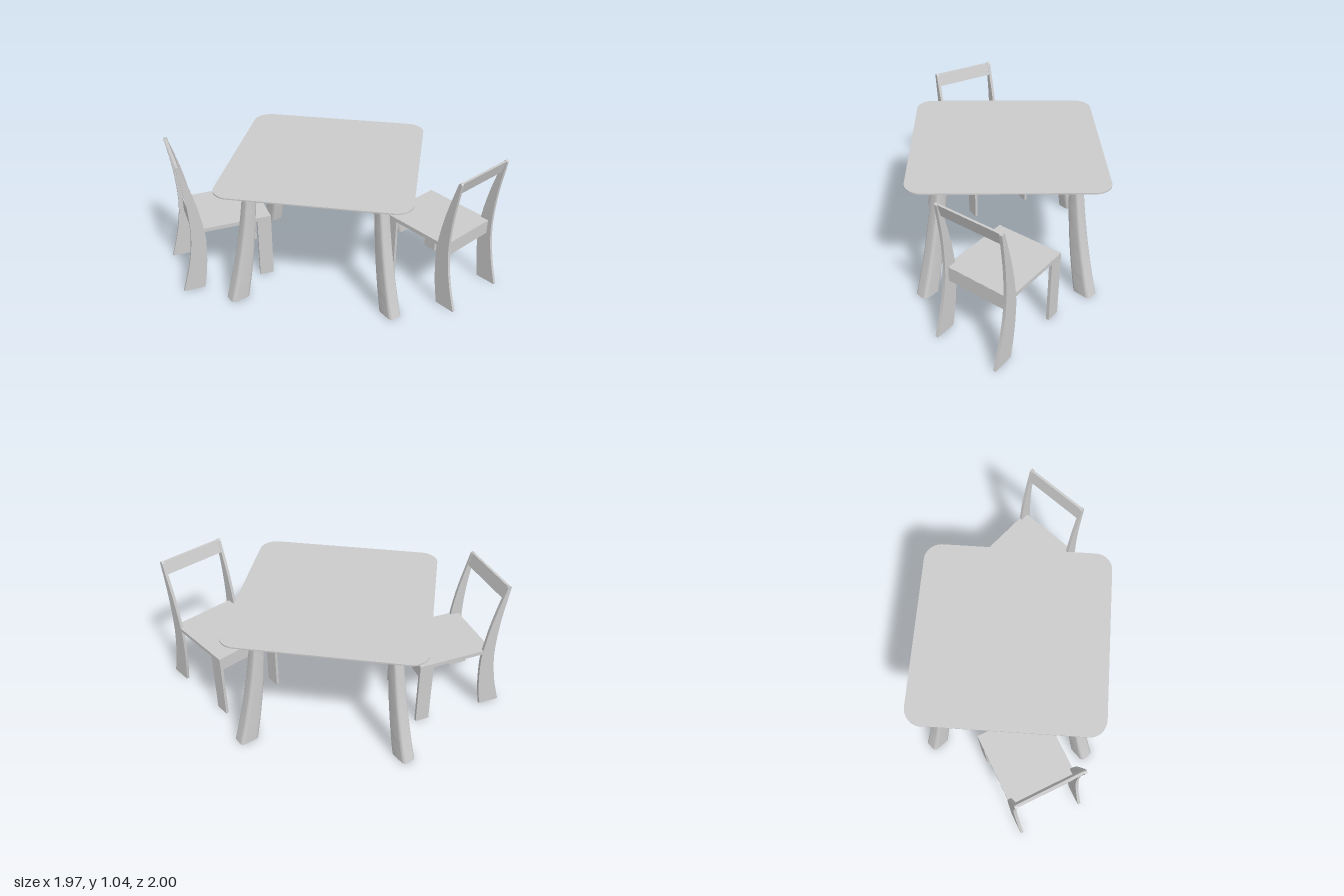
import * as THREE from 'three';
import { toCreasedNormals } from 'three/addons/utils/BufferGeometryUtils.js';

const material = new THREE.MeshStandardMaterial({ color: 0xcccccc });

function add(parent, name, geometry) {
  const mesh = new THREE.Mesh(geometry, material);
  mesh.name = name;
  parent.add(mesh);
  return mesh;
}

function roundedRect(w, h, r) {
  const s = new THREE.Shape(), x = w / 2 - r, y = h / 2 - r;
  s.absarc(x, y, r, 0, Math.PI / 2);
  s.absarc(-x, y, r, Math.PI / 2, Math.PI);
  s.absarc(-x, -y, r, Math.PI, Math.PI * 1.5);
  s.absarc(x, -y, r, Math.PI * 1.5, Math.PI * 2);
  s.closePath();
  return s;
}

// Extrudes a section upward over t = 0..1 and reshapes each level by a rule
function loft(shape, steps, curveSegments, rule) {
  const geo = new THREE.ExtrudeGeometry(shape, { depth: 1, steps, curveSegments, bevelEnabled: false });
  geo.rotateX(-Math.PI / 2);
  const p = geo.attributes.position;
  for (let i = 0; i < p.count; i++) p.setXYZ(i, ...rule(p.getX(i), p.getY(i), p.getZ(i)));
  geo.computeVertexNormals();
  return toCreasedNormals(geo, 0.6);
}

// Side outline in (z, y), extruded to a board of the given width across x
function board(shape, width, x = 0) {
  const geo = new THREE.ExtrudeGeometry(shape, { depth: width, curveSegments: 16, bevelEnabled: false });
  geo.rotateY(-Math.PI / 2).translate(x + width / 2, 0, 0);
  return toCreasedNormals(geo, 0.6);
}

const points = (list) => list.map(([x, y]) => new THREE.Vector2(x, y));

function box(w, h, d, x, y, z) {
  return new THREE.BoxGeometry(w, h, d).translate(x, y, z);
}

function createTable() {
  const table = new THREE.Group();
  table.name = 'table';

  // Square top with rounded corners and an undercut edge
  const levels = [[0.875, 0.885], [0.91, 1], [0.92, 1]];
  const top = add(table, 'tableTop', loft(roundedRect(1.36, 1.36, 0.125), 2, 16, (x, t, z) => {
    const [y, scale] = levels[Math.round(t * 2)];
    return [x * scale, y, z * scale];
  }));
  top.rotation.y = Math.PI / 4;

  // Four legs that taper upward and sweep out along the diagonals
  const legGeometry = loft(roundedRect(1, 1, 0.22), 14, 6, (x, t, z) => [
    0.8 - 0.23 * t + 0.08 * t * t + x * (0.145 - 0.07 * t),
    t * 0.88,
    z * (0.105 - 0.025 * t),
  ]);
  for (let i = 0; i < 4; i++) add(table, 'tableLeg', legGeometry).rotation.y = i * Math.PI / 2;

  // Two crossing rails with an arched lower edge
  const rail = new THREE.Shape();
  rail.moveTo(-0.65, 0.878);
  rail.lineTo(-0.65, 0.75);
  rail.quadraticCurveTo(0, 0.81, 0.65, 0.75);
  rail.lineTo(0.65, 0.878);
  rail.closePath();
  const railGeometry = board(rail, 0.05);
  for (let i = 0; i < 2; i++) add(table, 'crossRail', railGeometry).rotation.y = i * Math.PI / 2;
  return table;
}

// Chair faces +z, with its rearmost feet at z = 0
function createChair() {
  const chair = new THREE.Group();
  chair.name = 'chair';
  const half = 0.254, thick = 0.022;

  // Curved plank that is both rear leg and back post
  const post = new THREE.Shape();
  post.moveTo(0, 0);
  post.lineTo(0.16, 0);
  post.splineThru(points([[0.188, 0.17], [0.203, 0.35], [0.2, 0.5], [0.156, 0.75], [0.077, 1.035]]));
  post.quadraticCurveTo(0.066, 1.052, 0.05, 1.035);
  post.splineThru(points([[0.087, 0.78], [0.1, 0.57], [0.093, 0.4], [0.057, 0.2], [0, 0]]));

  for (const side of [-1, 1]) {
    const x = side * (half - thick / 2);
    add(chair, 'backPost', board(post, thick, x));
    add(chair, 'frontLeg', box(thick, 0.52, 0.105, x, 0.26, 0.6475));
  }

  add(chair, 'seat', box(2 * half - 0.002, 0.03, 0.567, 0, 0.5045, 0.4155));
  const inner = 2 * (half - thick);
  add(chair, 'frontApron', box(inner, 0.1, thick, 0, 0.465, 0.685));
  add(chair, 'rearApron', box(inner, 0.108, thick, 0, 0.464, 0.142));

  // Leaning rail between the posts
  const rail = new THREE.Shape(points([[0.055, 1.038], [0.082, 0.945], [0.1, 0.945], [0.073, 1.038]]));
  add(chair, 'backRail', board(rail, inner));
  return chair;
}

export function createModel() {
  const model = new THREE.Group();
  model.name = 'diningSet';

  const table = createTable();
  table.position.set(0.08, 0, -0.095);
  table.rotation.y = -0.113;
  model.add(table);

  // Two matching chairs: x, z, heading
  for (const [x, z, heading] of [[0.586, 1, Math.PI], [-0.893, -0.737, 1.197]]) {
    const chair = createChair();
    chair.position.set(x, 0, z);
    chair.rotation.y = heading;
    model.add(chair);
  }
  return model;
}
